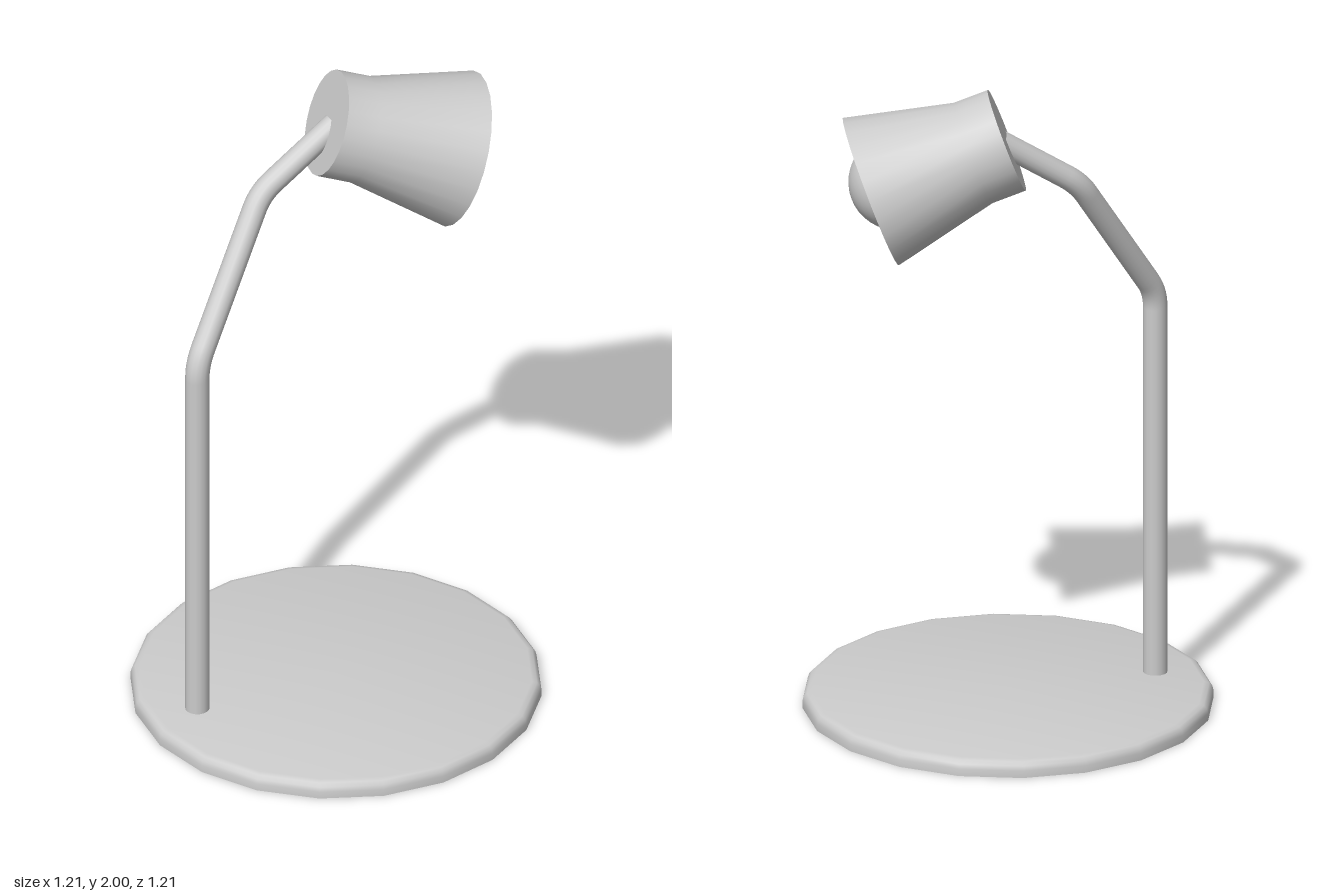
import * as THREE from 'three';
import { toCreasedNormals } from 'three/addons/utils/BufferGeometryUtils.js';

const material = new THREE.MeshStandardMaterial({ color: 0xcccccc });

function addMesh(parent, name, geometry) {
  const mesh = new THREE.Mesh(geometry, material);
  mesh.name = name;
  parent.add(mesh);
  return mesh;
}

// Turned solid from [radius, height] pairs, sharp at steep corners
function lathe(profile, sides) {
  const points = profile.map(([r, y]) => new THREE.Vector2(r, y));
  return toCreasedNormals(new THREE.LatheGeometry(points, sides), 0.6);
}

// Straight runs joined by short rounded bends
function bentPath(points, bend) {
  const path = new THREE.CurvePath();
  let start = points[0];
  for (let i = 1; i < points.length - 1; i++) {
    const corner = points[i];
    const towards = (p) => corner.clone().add(p.clone().sub(corner).setLength(bend));
    const before = towards(points[i - 1]);
    const after = towards(points[i + 1]);
    path.add(new THREE.LineCurve3(start, before));
    path.add(new THREE.QuadraticBezierCurve3(before, corner, after));
    start = after;
  }
  path.add(new THREE.LineCurve3(start, points[points.length - 1]));
  return path;
}

export function createModel() {
  const lamp = new THREE.Group();
  lamp.name = 'deskLamp';

  // Round base with a softened upper edge
  addMesh(lamp, 'base', lathe([
    [0, 0], [0.605, 0], [0.605, 0.022], [0.601, 0.036], [0.592, 0.046], [0.577, 0.05], [0, 0.05],
  ], 20));

  // Upright stem that bends over towards the shade
  const stemPath = bentPath([
    new THREE.Vector3(-0.44, 0.03, 0.09),
    new THREE.Vector3(-0.44, 1.25, 0.09),
    new THREE.Vector3(-0.2, 1.68, -0.12),
    new THREE.Vector3(0.04, 1.845, -0.185),
  ], 0.05);
  addMesh(lamp, 'stem', new THREE.TubeGeometry(stemPath, 140, 0.036, 16));

  // Head: built along +y, then tipped so the opening points right and down
  const head = new THREE.Group();
  head.name = 'head';
  head.position.set(0.0175, 1.85, -0.19);
  head.rotation.z = -(Math.PI / 2 + 0.359);
  lamp.add(head);

  // Hollow shade: short collar, then a flare
  addMesh(head, 'shade', lathe([
    [0, 0], [0.159, 0], [0.159, 0.106], [0.233, 0.427],
    [0.222, 0.427], [0.148, 0.108], [0.148, 0.012], [0, 0.012],
  ], 24));

  // Bulb and the socket that holds it
  const socket = addMesh(head, 'bulbSocket', new THREE.CylinderGeometry(0.035, 0.035, 0.22, 16));
  socket.position.y = 0.115;
  const bulb = addMesh(head, 'bulb', new THREE.SphereGeometry(0.143, 32, 20));
  bulb.position.y = 0.345;

  return lamp;
}
